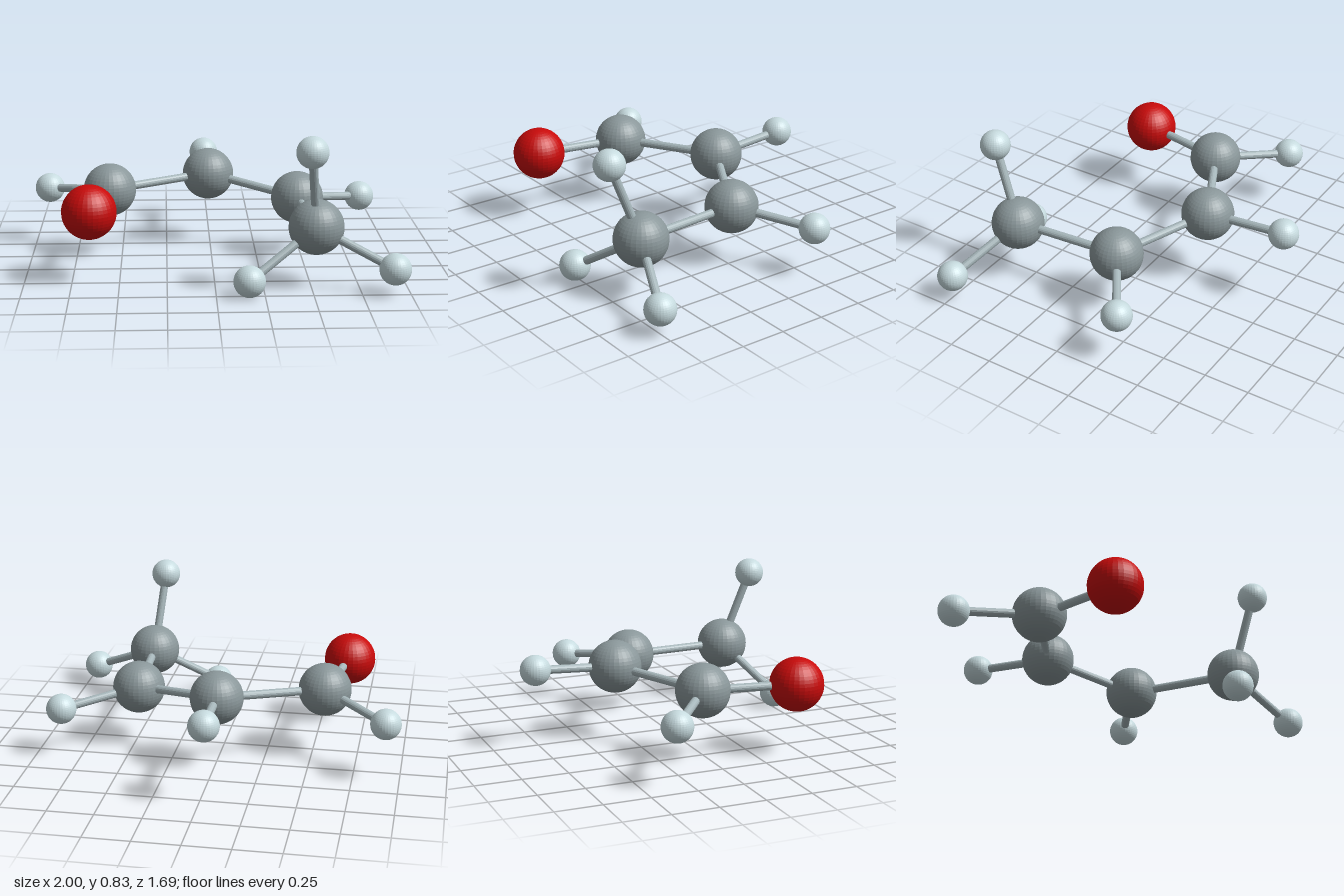
import * as THREE from 'three';

const CARBON = { radius: 0.145, color: 0x8a979a };
const OXYGEN = { radius: 0.145, color: 0xc80a0a };
const HYDROGEN = { radius: 0.083, color: 0xc6dade };
const BOND = { radius: 0.023, color: 0xa6b6ba };

// Atom name: kind and centre
const ATOMS = {
  oxygen: [OXYGEN, -0.655, 0.38, 0.47],
  endCarbon: [CARBON, -0.563, 0.377, -0.03],
  backCarbon: [CARBON, -0.01, 0.40, -0.306],
  sideCarbon: [CARBON, 0.479, 0.324, -0.033],
  frontCarbon: [CARBON, 0.524, 0.322, 0.588],
  endHydrogen: [HYDROGEN, -0.917, 0.318, -0.327],
  backHydrogen: [HYDROGEN, -0.024, 0.428, -0.765],
  sideHydrogen: [HYDROGEN, 0.86, 0.266, -0.286],
  frontHydrogenInner: [HYDROGEN, 0.169, 0.085, 0.764],
  frontHydrogenTop: [HYDROGEN, 0.482, 0.75, 0.744],
  frontHydrogenOuter: [HYDROGEN, 0.915, 0.139, 0.75],
};

// Pairs of joined atoms
const BONDS = [
  ['oxygen', 'endCarbon'],
  ['endCarbon', 'backCarbon'],
  ['backCarbon', 'sideCarbon'],
  ['sideCarbon', 'frontCarbon'],
  ['endCarbon', 'endHydrogen'],
  ['backCarbon', 'backHydrogen'],
  ['sideCarbon', 'sideHydrogen'],
  ['frontCarbon', 'frontHydrogenInner'],
  ['frontCarbon', 'frontHydrogenTop'],
  ['frontCarbon', 'frontHydrogenOuter'],
];

const centre = (name) => new THREE.Vector3(...ATOMS[name].slice(1));

function makeMaterial(color) {
  const material = new THREE.MeshStandardMaterial({ color });
  material.flatShading = true;
  return material;
}

export function createModel() {
  const model = new THREE.Group();
  model.name = 'molecule';

  // Atoms: one shared geometry and material per kind
  const parts = new Map([CARBON, OXYGEN, HYDROGEN].map((kind) => [kind, {
    geometry: new THREE.SphereGeometry(kind.radius, 32, 24),
    material: makeMaterial(kind.color),
  }]));
  for (const name of Object.keys(ATOMS)) {
    const { geometry, material } = parts.get(ATOMS[name][0]);
    const atom = new THREE.Mesh(geometry, material);
    atom.name = name;
    atom.position.copy(centre(name));
    model.add(atom);
  }

  // Bonds: thin rods from centre to centre
  const bondMaterial = makeMaterial(BOND.color);
  const up = new THREE.Vector3(0, 1, 0);
  for (const [from, to] of BONDS) {
    const a = centre(from);
    const b = centre(to);
    const rod = new THREE.Mesh(
      new THREE.CylinderGeometry(BOND.radius, BOND.radius, a.distanceTo(b), 16),
      bondMaterial,
    );
    rod.name = `bond ${from} to ${to}`;
    rod.position.copy(a).lerp(b, 0.5);
    rod.quaternion.setFromUnitVectors(up, b.sub(a).normalize());
    model.add(rod);
  }

  return model;
}
